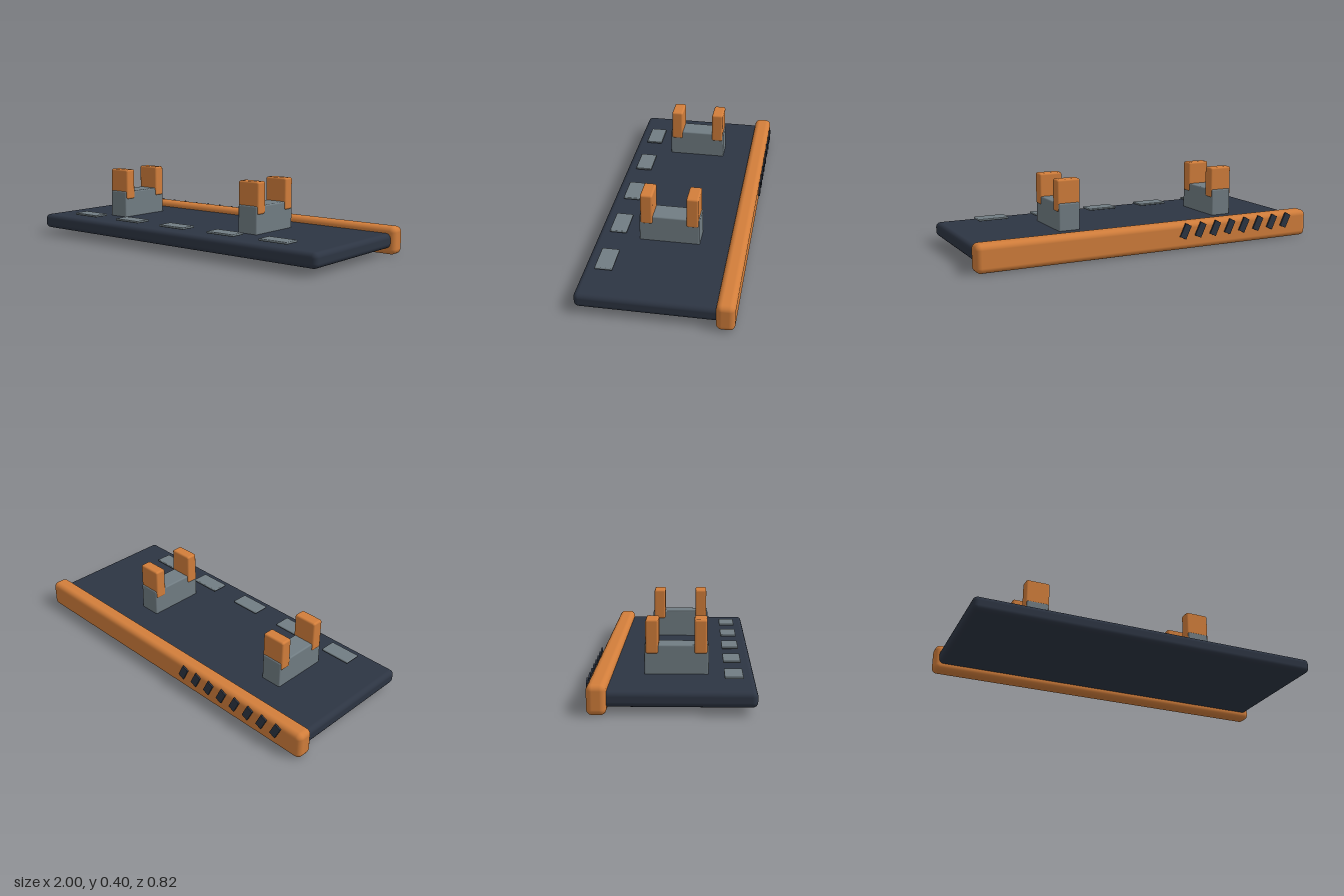
import * as THREE from 'three';
import { RoundedBoxGeometry } from 'three/addons/geometries/RoundedBoxGeometry.js';

export function createModel() {
  const model = new THREE.Group();
  model.name = 'clampTray';

  const mat = (name, color) => {
    const m = new THREE.MeshStandardMaterial({ color });
    m.name = name;
    return m;
  };
  const navy = mat('dark navy', 0x2d3543);
  const orange = mat('burnt orange', 0xd27e3b);
  const grey = mat('slate grey', 0x717d83);

  // Rounded block given by its limits along each axis
  const block = (parent, name, material, [x0, x1], [y0, y1], [z0, z1], radius) => {
    const geometry = new RoundedBoxGeometry(x1 - x0, y1 - y0, z1 - z0, 4, radius);
    const mesh = new THREE.Mesh(geometry, material);
    mesh.name = name;
    mesh.position.set((x0 + x1) / 2, (y0 + y1) / 2, (z0 + z1) / 2);
    parent.add(mesh);
  };

  // Flat deck and the thicker rail along its back edge
  block(model, 'deck', navy, [-0.977, 0.977], [0.036, 0.116], [-0.36, 0.41], 0.027);
  block(model, 'backRail', orange, [-1, 1], [0, 0.15], [-0.4, -0.304], 0.03);

  // Two clamps: a grey base with an orange jaw at either end
  for (const x of [-0.575, 0.392]) {
    const clamp = new THREE.Group();
    clamp.name = 'clamp';
    clamp.position.x = x;
    block(clamp, 'clampBase', grey, [-0.061, 0.061], [0.09, 0.266], [-0.145, 0.18], 0.008);
    for (const z of [-0.106, 0.14]) {
      block(clamp, 'clampJaw', orange, [-0.067, 0.067], [0.221, 0.395], [z - 0.033, z + 0.033], 0.011);
    }
    model.add(clamp);
  }

  // Row of thin pads hovering over the front edge
  for (let i = -2; i <= 2; i++) {
    const x = i * 0.34;
    block(model, 'frontPad', grey, [x - 0.088, x + 0.088], [0.125, 0.137], [0.257, 0.35], 0.005);
  }

  // Slanted hazard stripes on the back of the rail
  const stripeGeometry = new THREE.BoxGeometry(0.04, 0.08, 0.009);
  for (let i = 0; i < 8; i++) {
    const stripe = new THREE.Mesh(stripeGeometry, navy);
    stripe.name = 'railStripe';
    stripe.position.set(-0.845 + i * 0.095, 0.104, -0.4055);
    stripe.rotation.z = 0.44;
    model.add(stripe);
  }

  return model;
}
